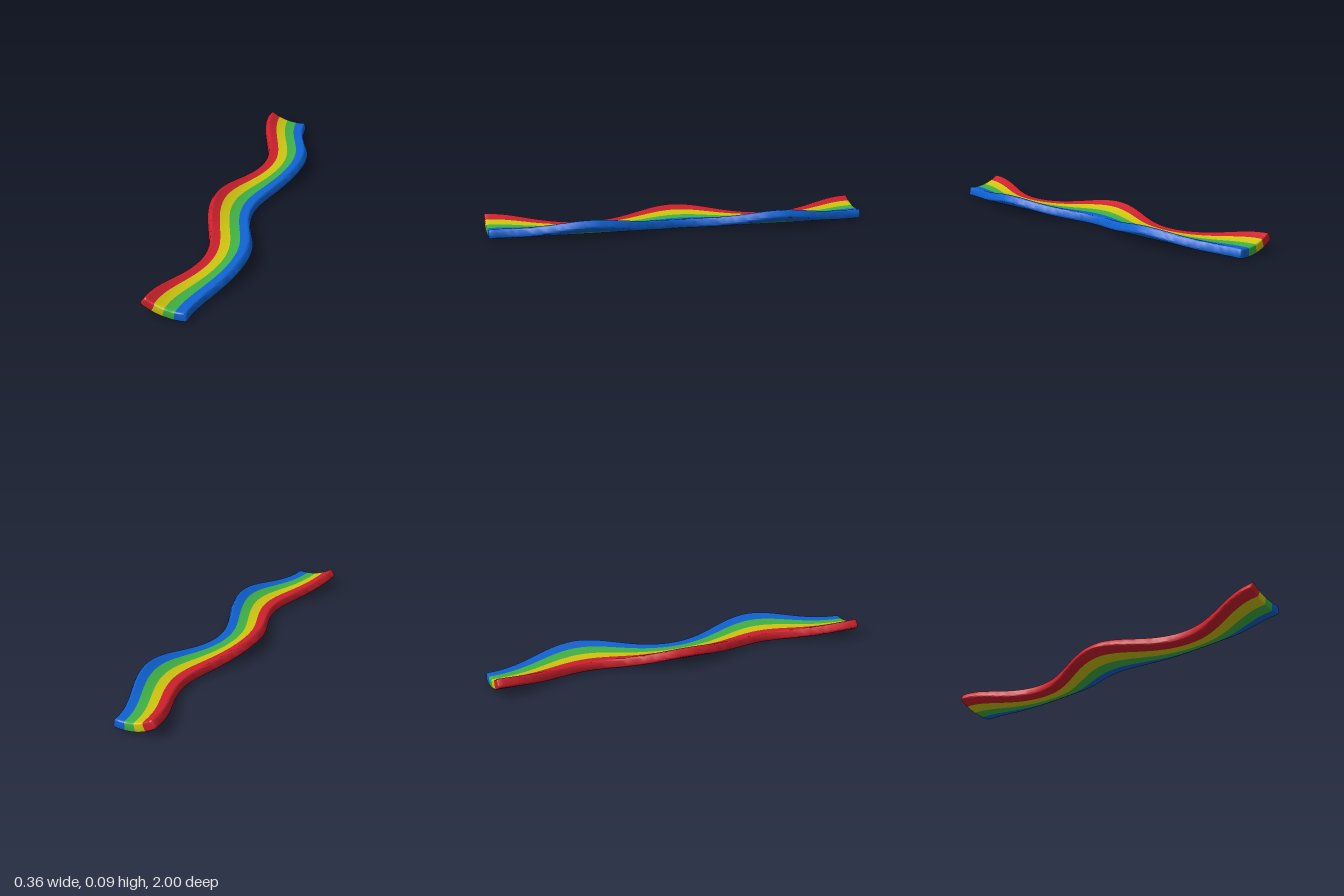
import * as THREE from 'three';
import { toCreasedNormals } from 'three/addons/utils/BufferGeometryUtils.js';

const R = 0.295, CENTER_Y = 0.321; // arc that the strip is bent and swung around
const W = 0.115, H = 0.024;        // half width and half thickness
const EDGE = 0.012, END = 0.008;   // rounding of long edges and of ends
const SWING = 0.229;               // side-to-side wave, radians
const ROUND = 5, COLS = 6, ROWS = 96;

// Bend a flat point (u across, v up, z along) onto the wavy arc
function bend(u, v, z) {
  const a = u / R - SWING * Math.cos(2 * Math.PI * z);
  return [(R - v) * Math.sin(a), CENTER_Y - (R - v) * Math.cos(a), z];
}

// Rows along the strip, inset towards the rounded ends
function makeRows() {
  const end = [];
  for (let i = 0; i <= 3; i++) {
    const t = (i / 3) * Math.PI / 2;
    end.push({ z: 1 - END * (1 - Math.cos(t)), inset: END * (1 - Math.sin(t)) });
  }
  const rows = end.map(e => ({ z: -e.z, inset: e.inset }));
  const zMax = 1 - END;
  for (let i = 1; i < ROWS; i++) rows.push({ z: -zMax + 2 * zMax * i / ROWS, inset: 0 });
  return rows.concat(end.reverse());
}

// Columns across one stripe: position u and half thickness h
function makeColumns(u0, u1, first, last) {
  const cols = [];
  const a = first ? u0 + EDGE : u0, b = last ? u1 - EDGE : u1;
  const corner = (i, s) => {
    const t = (i / ROUND) * Math.PI / 2;
    return { u: s * (W - EDGE * (1 - Math.cos(t))), h: H - EDGE * (1 - Math.sin(t)) };
  };
  if (first) for (let i = 0; i < ROUND; i++) cols.push(corner(i, -1));
  for (let i = 0; i <= COLS; i++) cols.push({ u: a + (b - a) * i / COLS, h: H });
  if (last) for (let i = ROUND - 1; i >= 0; i--) cols.push(corner(i, 1));
  return cols;
}

function stripeGeometry(u0, u1, first, last) {
  const rows = makeRows(), cols = makeColumns(u0, u1, first, last), pos = [];
  const P = (i, j, s) => {
    const c = cols[i], r = rows[j];
    return bend(c.u * (W - r.inset) / W, s * (c.h - r.inset), r.z);
  };
  const quad = (a, b, c, d) => pos.push(...a, ...b, ...c, ...a, ...c, ...d);
  const n = cols.length - 1, m = rows.length - 1;
  for (let j = 0; j < m; j++) {
    for (let i = 0; i < n; i++) {
      quad(P(i, j + 1, 1), P(i + 1, j + 1, 1), P(i + 1, j, 1), P(i, j, 1));      // top
      quad(P(i, j, -1), P(i + 1, j, -1), P(i + 1, j + 1, -1), P(i, j + 1, -1));  // underside
    }
    if (last) quad(P(n, j, -1), P(n, j, 1), P(n, j + 1, 1), P(n, j + 1, -1));
    if (first) quad(P(0, j + 1, -1), P(0, j + 1, 1), P(0, j, 1), P(0, j, -1));
  }
  for (let i = 0; i < n; i++) { // end faces
    quad(P(i, m, -1), P(i + 1, m, -1), P(i + 1, m, 1), P(i, m, 1));
    quad(P(i, 0, 1), P(i + 1, 0, 1), P(i + 1, 0, -1), P(i, 0, -1));
  }
  const g = new THREE.BufferGeometry();
  g.setAttribute('position', new THREE.Float32BufferAttribute(pos, 3));
  return toCreasedNormals(g, 0.7);
}

export function createModel() {
  const group = new THREE.Group();
  group.name = 'wavyStripedStrip';
  const stripes = [['red', 0xcc202c], ['yellow', 0xcdc40f], ['green', 0x3fb145], ['blue', 0x0f62d2]];
  const step = 2 * W / stripes.length;
  stripes.forEach(([name, color], k) => {
    const material = new THREE.MeshStandardMaterial({ color });
    material.name = name;
    const u = -W + k * step;
    const mesh = new THREE.Mesh(stripeGeometry(u, u + step, k === 0, k === stripes.length - 1), material);
    mesh.name = name + 'Stripe';
    group.add(mesh);
  });
  return group;
}
